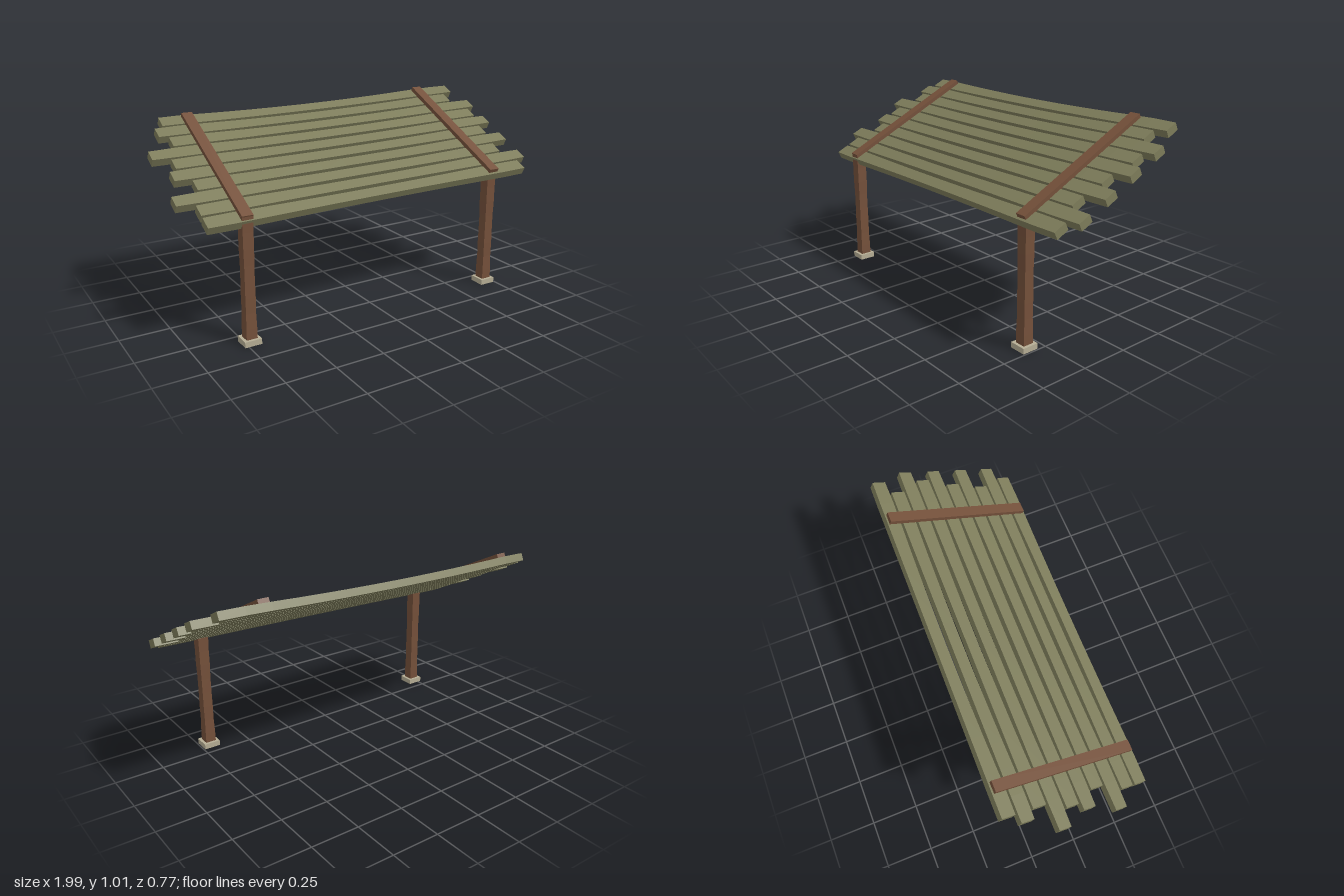
import * as THREE from 'three';

const material = (color) => new THREE.MeshStandardMaterial({ color, flatShading: true });
const olive = material(0x7d7c5a);
const brown = material(0x74503a);
const stone = material(0xb5ad94);

const SLOPE = THREE.MathUtils.degToRad(26);
const DECK_Y = 0.783;

function addMesh(parent, name, geometry, mat) {
  const mesh = new THREE.Mesh(geometry, mat);
  mesh.name = name;
  parent.add(mesh);
  return mesh;
}

// Moves every vertex of a geometry by a rule
function warp(geometry, rule) {
  const p = geometry.attributes.position;
  const v = new THREE.Vector3();
  for (let i = 0; i < p.count; i++) {
    v.fromBufferAttribute(p, i);
    rule(v);
    p.setXYZ(i, v.x, v.y, v.z);
  }
  geometry.computeVertexNormals();
  return geometry;
}

// Rough plank: slimmer in the middle and at the tips, tilted and sagging a little
function plankGeometry(x0, x1, sag) {
  const g = new THREE.BoxGeometry(x1 - x0, 0.04, 0.073, 14, 1, 1);
  g.translate((x0 + x1) / 2, 0, 0);
  return warp(g, (v) => {
    const mid = Math.max(0, 1 - (v.x / 0.75) ** 2);
    const tip = Math.max(0, Math.abs(v.x) - 0.82);
    v.z *= 1 - 0.18 * mid - 0.5 * tip;
    v.y = v.y * (1 - 0.08 * mid) + 0.018 * v.x - sag * mid;
  });
}

// Square post with a slightly uneven, hewn outline
function postGeometry() {
  const h = 0.63;
  const g = new THREE.BoxGeometry(0.056, h, 0.056, 1, 8, 1);
  g.translate(0, h / 2, 0);
  return warp(g, (v) => {
    const t = v.y / h;
    const s = 1 - 0.1 * Math.sin(Math.PI * t) + 0.025 * Math.sin(t * 19);
    v.x *= s;
    v.z *= s;
  });
}

// Square collar around the foot of a post
function collarGeometry() {
  const square = (path, r) => path.moveTo(-r, -r).lineTo(r, -r).lineTo(r, r).lineTo(-r, r).closePath();
  const shape = square(new THREE.Shape(), 0.043);
  shape.holes.push(square(new THREE.Path(), 0.026));
  const g = new THREE.ExtrudeGeometry(shape, { depth: 0.028, bevelEnabled: false });
  return g.rotateX(-Math.PI / 2);
}

export function createModel() {
  const model = new THREE.Group();
  model.name = 'leanToRoof';

  // Sloping deck
  const deck = new THREE.Group();
  deck.name = 'slopingDeck';
  deck.position.y = DECK_Y;
  deck.rotation.x = SLOPE;
  model.add(deck);

  // Plank ends, from the back to the front
  const ends = [
    [-0.87, 0.93], [-0.915, 0.865], [-0.87, 0.985], [-1, 0.93], [-0.915, 0.985],
    [-0.95, 0.895], [-0.87, 0.985], [-1, 0.87], [-0.915, 0.985], [-0.915, 0.92],
  ];
  ends.forEach(([x0, x1], i) => {
    const plank = addMesh(deck, 'plank' + (i + 1), plankGeometry(x0, x1, 0.012 * (1 - i / 9)), olive);
    plank.position.z = (i - 4.5) * 0.0834 - 0.003;
  });

  // Battens across the planks, and posts under the front edge
  for (const [side, x] of [['right', -0.727], ['left', 0.7]]) {
    const batten = addMesh(deck, side + 'Batten', new THREE.BoxGeometry(0.056, 0.024, 0.8), brown);
    batten.position.set(x + (x > 0 ? 0.005 : 0), 0.028 + 0.018 * x, -0.005);

    const support = new THREE.Group();
    support.name = side + 'Support';
    support.position.set(x, 0, 0.336);
    addMesh(support, side + 'Post', postGeometry(), brown);
    addMesh(support, side + 'PostCollar', collarGeometry(), stone);
    model.add(support);
  }
  return model;
}
